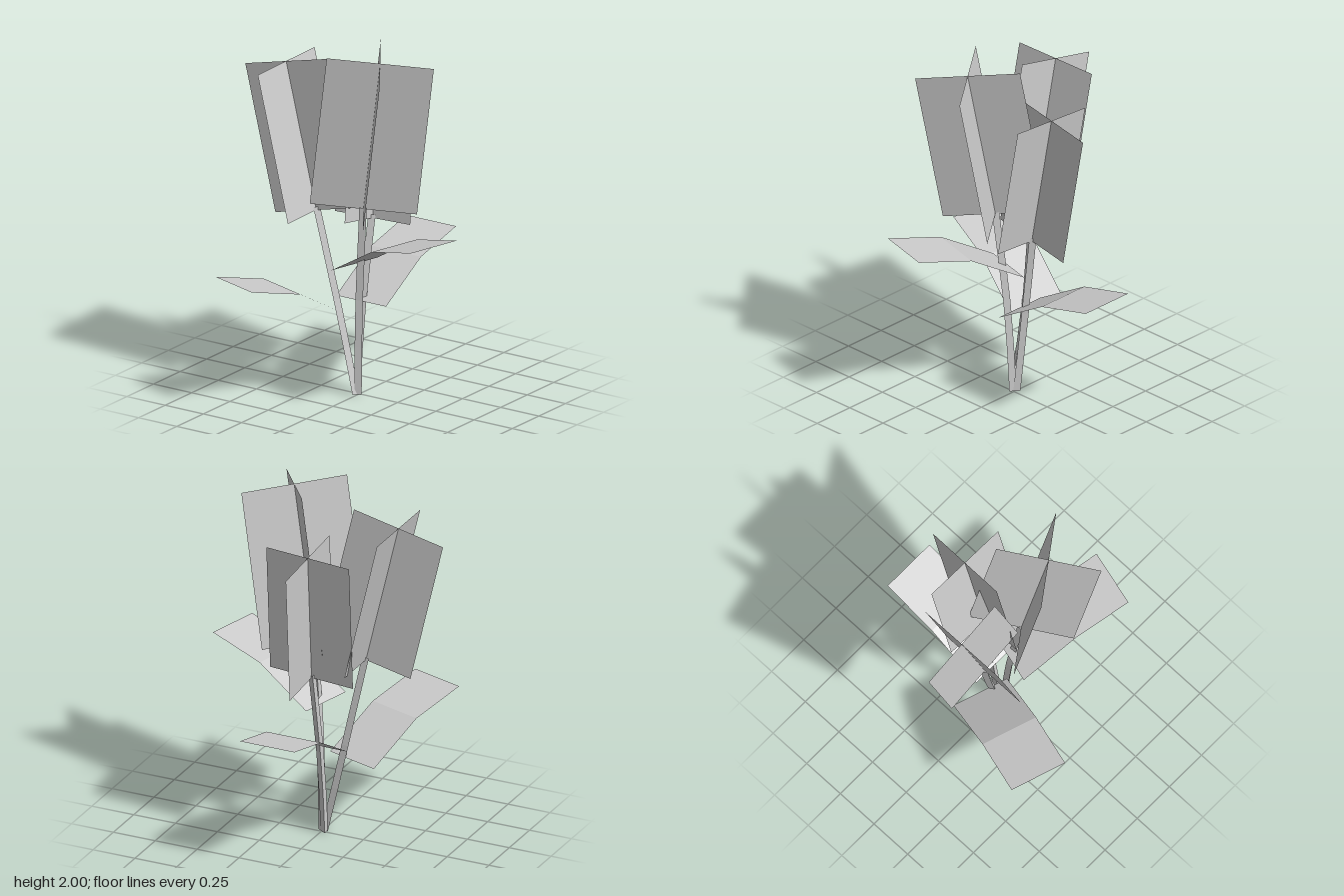
import * as THREE from 'three';

const material = new THREE.MeshStandardMaterial({ color: 0xcccccc, side: THREE.DoubleSide, flatShading: true });
material.name = 'pale grey';

const vec = (a) => new THREE.Vector3(...a);

// Open strip through a list of centre points, reaching one half-width to each side
function strip(name, centres, half) {
  const pos = [], index = [];
  centres.forEach((c, i) => {
    pos.push(...c.clone().sub(half).toArray(), ...c.clone().add(half).toArray());
    if (i) {
      const k = 2 * i;
      index.push(k - 2, k - 1, k + 1, k - 2, k + 1, k);
    }
  });
  const geo = new THREE.BufferGeometry();
  geo.setAttribute('position', new THREE.Float32BufferAttribute(pos, 3));
  geo.setIndex(index);
  const flat = geo.toNonIndexed();
  flat.computeVertexNormals();
  const mesh = new THREE.Mesh(flat, material);
  mesh.name = name;
  return mesh;
}

// Leaf: a steep inner half and a flatter outer half, heading along (dx, dz)
function leaf([x, y, z], dx, dz) {
  const centres = [[0, 0], [0.33, 0.19], [0.66, 0.27]]
    .map(([d, h]) => new THREE.Vector3(x + dx * d, y + h, z + dz * d));
  return strip('leaf', centres, new THREE.Vector3(-dz, 0, dx).multiplyScalar(0.163));
}

// Stem: slim bent prism
function stem(points) {
  const curve = new THREE.CatmullRomCurve3(points.map(vec));
  const mesh = new THREE.Mesh(new THREE.TubeGeometry(curve, 4, 0.023, 3), material);
  mesh.name = 'stem';
  return mesh;
}

// base and top: ends of the bloom axis; u and v: half-widths of the crossed sheets
const flowers = [
  {
    name: 'leftFlower',
    stem: [[-0.012, 0, 0.025], [-0.11, 0.43, 0.03], [-0.228, 1.04, 0.083]],
    base: [-0.225, 1.02, 0.083], top: [-0.415, 1.832, 0.093],
    u: [0.263, 0.062, -0.006], v: [0.002, -0.003, 0.27],
    leaf: [[-0.18, 0.45, 0.005], -0.31, 0.951],
  },
  {
    name: 'backFlower',
    stem: [[-0.018, 0, 0], [-0.022, 0.42, -0.05], [-0.008, 0.98, -0.13]],
    base: [-0.004, 0.958, -0.13], top: [-0.037, 1.72, -0.246],
    u: [0.251, 0.012, 0.008], v: [0.011, -0.037, -0.248],
    leaf: [[-0.01, 0.513, -0.03], 0, -1],
  },
  {
    name: 'rightFlower',
    stem: [[0, 0, 0.012], [0.02, 0.5, 0.032], [0.073, 1.09, 0.07]],
    base: [0.073, 1.08, 0.068], top: [0.225, 1.953, 0.128],
    u: [0.234, -0.032, -0.168], v: [0.161, -0.042, 0.237],
    leaf: [[-0.005, 0.745, 0.044], 0.967, 0.253],
  },
];

export function createModel() {
  const model = new THREE.Group();
  model.name = 'flowerBunch';
  for (const f of flowers) {
    const group = new THREE.Group();
    group.name = f.name;
    const axis = [vec(f.base), vec(f.top)];
    group.add(
      stem(f.stem),
      leaf(...f.leaf),
      strip('bloomSheetA', axis, vec(f.u)),
      strip('bloomSheetB', axis, vec(f.v)),
    );
    model.add(group);
  }
  return model;
}
